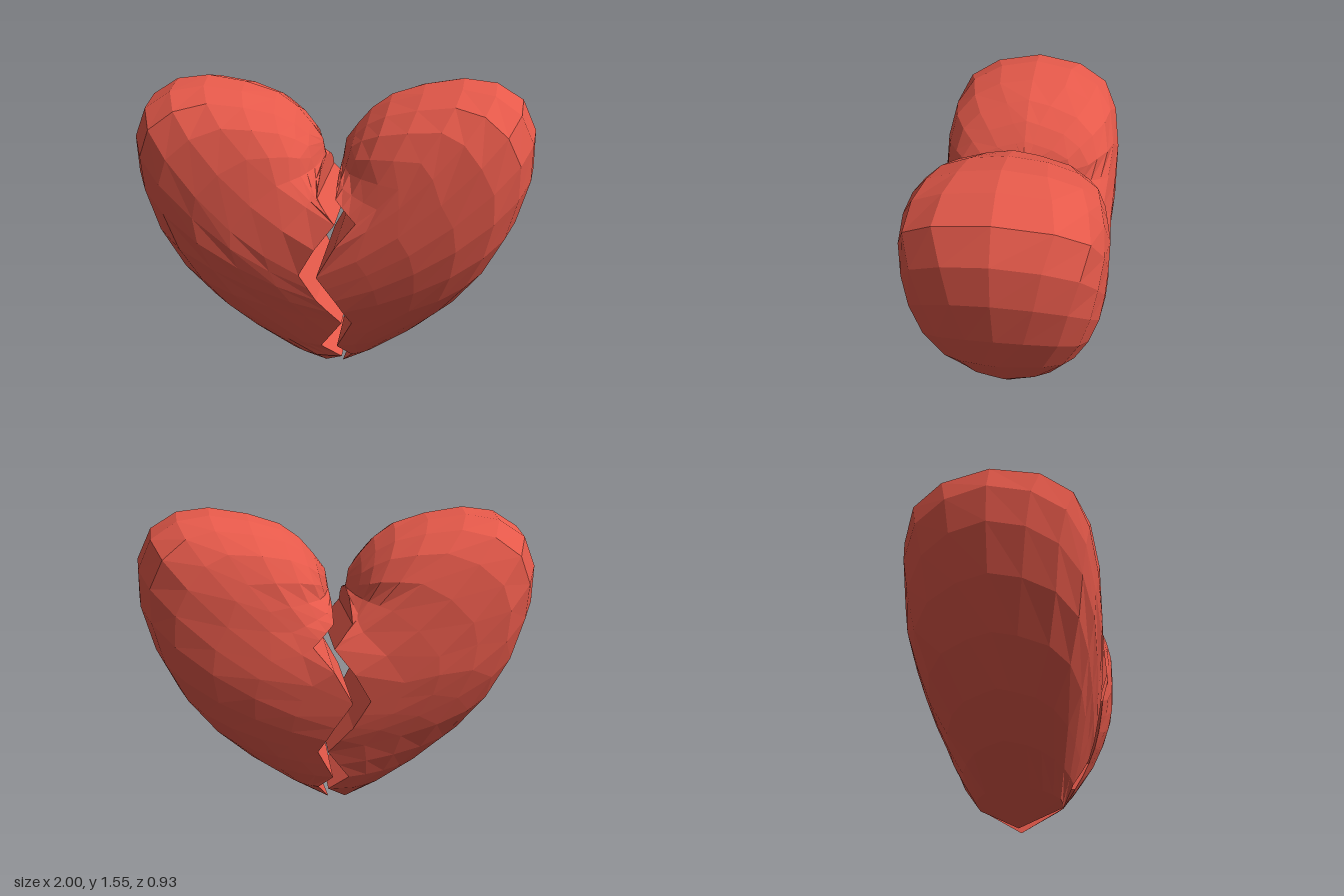
import * as THREE from 'three';

// Outer rim of one half, from the cleft over the lobe down to the tip (x = distance from the middle)
const RIM = [[0.045, 1.16], [0.06, 1.25], [0.12, 1.33], [0.19, 1.41], [0.29, 1.48], [0.45, 1.53],
  [0.64, 1.56], [0.8, 1.54], [0.93, 1.46], [1, 1.31], [1, 1.12], [0.94, 0.89], [0.83, 0.66],
  [0.68, 0.46], [0.49, 0.29], [0.27, 0.145], [0.045, 0.01]];

// Zigzag break of each half, and the rim row each corner belongs to
const CRACK_ROWS = [0, 3, 6, 7, 8, 10, 12, 14, 15, 16];
const CRACK_RIGHT = [[-0.045, 1.16], [-0.045, 1.03], [0.045, 0.92], [-0.05, 0.8], [-0.13, 0.66],
  [-0.05, 0.52], [0.07, 0.38], [-0.04, 0.22], [0.06, 0.135], [-0.045, 0.01]];
const CRACK_LEFT = [[0.045, 1.16], [0.045, 1.03], [0.145, 0.93], [0.045, 0.81], [-0.045, 0.65],
  [0.04, 0.52], [0.12, 0.38], [0.04, 0.22], [0.11, 0.145], [0.045, 0.01]];

// Steps from the rim to the break, closer together where the surface curves
const STEPS = [0, 0.03, 0.1, 0.22, 0.4, 0.6, 0.8, 1];

const lerp = THREE.MathUtils.lerp;

// Linear look-up in a list of [input, output]
function lookUp(table, v) {
  for (let i = 1; i < table.length; i++) {
    const [a, fa] = table[i - 1], [b, fb] = table[i];
    if (v <= b) return lerp(fa, fb, (v - a) / (b - a));
  }
  return table[table.length - 1][1];
}

// Distance to the rim of the whole heart
const WHOLE = [[0, 1.15], ...RIM, [0, -0.02]].map(([x, y]) => new THREE.Vector3(x, y, 0));
function rimDistance(x, y) {
  const soft = 0.08 * THREE.MathUtils.clamp((0.7 - y) / 0.4, 0, 1);
  const p = new THREE.Vector3(Math.hypot(x, soft * Math.max(0, 1 - Math.abs(x) / 0.2)), y, 0);
  const q = new THREE.Vector3(), line = new THREE.Line3();
  let best = Infinity;
  for (let i = 1; i < WHOLE.length; i++) {
    line.set(WHOLE[i - 1], WHOLE[i]).closestPointToPoint(p, true, q);
    best = Math.min(best, q.distanceTo(p));
  }
  return best;
}

// Half thickness: rounded in from the rim and thinner toward the tip
const ROUNDING = [[0, 0], [0.02, 0.17], [0.045, 0.26], [0.085, 0.34], [0.13, 0.385], [0.19, 0.425], [0.36, 0.465]];
const TAPER = [[0, 0.53], [0.2, 0.65], [0.4, 0.77], [0.55, 0.88], [0.82, 1]];
const thickness = (x, y) => lookUp(ROUNDING, rimDistance(x, y)) * lookUp(TAPER, Math.max(y, 0));

// One half: closed rings running front rim -> break -> back rim, stacked along the rim
function heartHalf(side, crack, name, material) {
  const crackX = crack.map((c, i) => [CRACK_ROWS[i], c[0]]);
  const crackY = crack.map((c, i) => [CRACK_ROWS[i], c[1]]);
  const positions = [], index = [];
  const ring = STEPS.length * 2;
  RIM.forEach(([rx, y0], i) => {
    const x0 = rx * side, x2 = lookUp(crackX, i), y2 = lookUp(crackY, i);
    // each row bends so it meets the break more squarely
    const bend = i === 0 || i === RIM.length - 1 ? 0 : 1;
    const x1 = bend ? lerp(x0, x2, 0.5) : x0, y1 = lerp(y0, y2, 0.75);
    const front = STEPS.map(t => {
      const x = lerp(lerp(x0, x1, t), lerp(x1, x2, t), t);
      const y = lerp(lerp(y0, y1, t), lerp(y1, y2, t), t);
      const onRim = t === 0 || !bend;
      return [x, y, onRim ? 0 : thickness(x, y)];
    });
    const back = front.map(([x, y, z]) => [x, y, -z]).reverse();
    [...front, ...back].forEach(p => positions.push(...p));
  });
  for (let i = 0; i < RIM.length - 1; i++) {
    for (let k = 0; k < ring - 1; k++) {
      const a = i * ring + k, b = a + ring;
      if (side < 0) index.push(a, b, b + 1, a, b + 1, a + 1);
      else index.push(a, b + 1, b, a, a + 1, b + 1);
    }
  }
  const geometry = new THREE.BufferGeometry();
  geometry.setAttribute('position', new THREE.Float32BufferAttribute(positions, 3));
  geometry.setIndex(index);
  geometry.computeVertexNormals();
  const mesh = new THREE.Mesh(geometry, material);
  mesh.name = name;
  return mesh;
}

export function createModel() {
  const group = new THREE.Group();
  group.name = 'brokenHeart';
  const red = new THREE.MeshStandardMaterial({ color: 0xe5594a, flatShading: true });
  group.add(heartHalf(-1, CRACK_RIGHT, 'rightHeartHalf', red));
  group.add(heartHalf(1, CRACK_LEFT, 'leftHeartHalf', red));
  // stand on the ground
  group.position.y = -0.01;
  return group;
}
